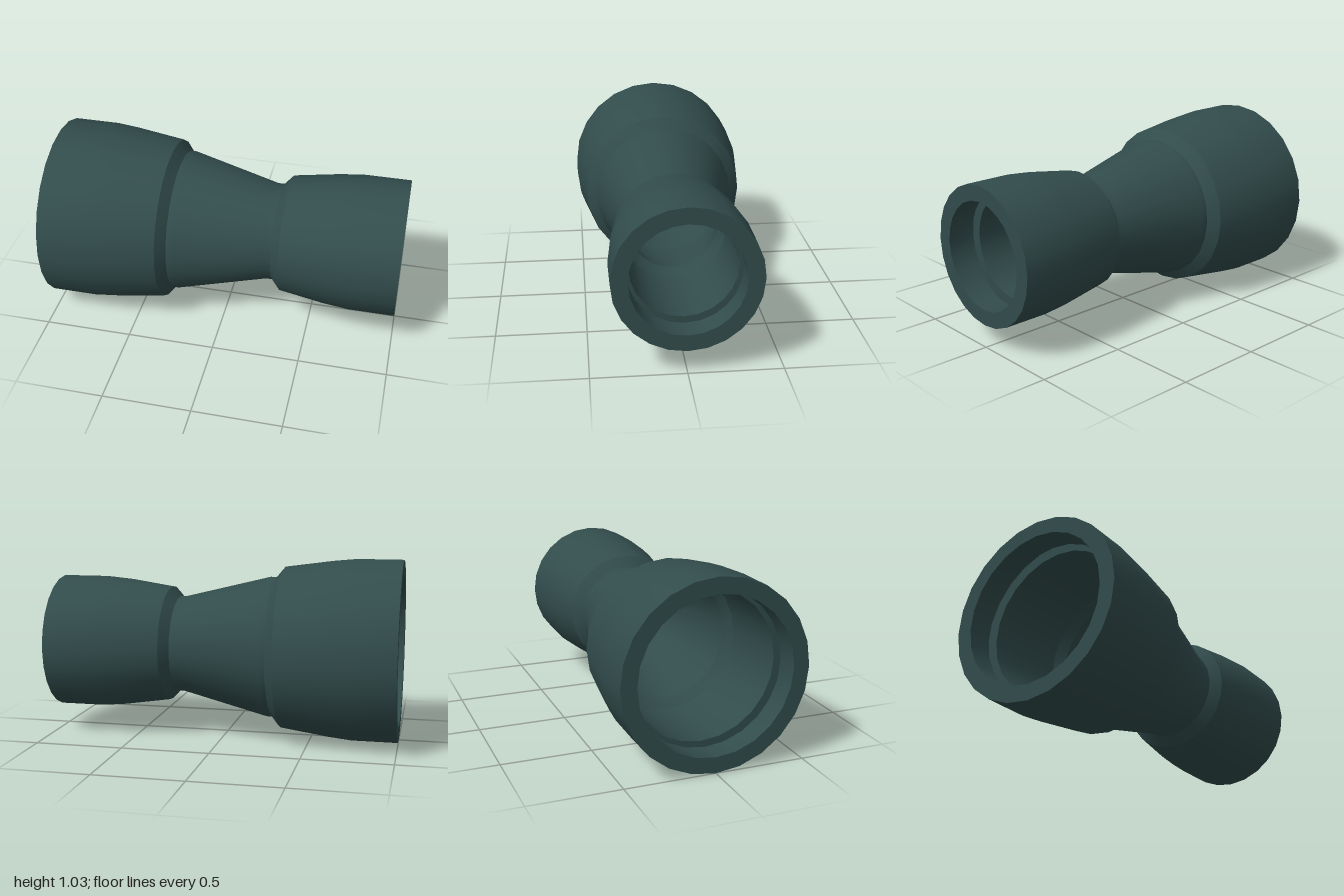
import * as THREE from 'three';
import { toCreasedNormals } from 'three/addons/utils/BufferGeometryUtils.js';

const SIDES = 24;
const AXIS_HEIGHT = 0.518;

// Turns a list of [x, radius] around the x axis
function turned(name, profile, material) {
  const points = profile.map(([x, r]) => new THREE.Vector2(r, x));
  const geometry = new THREE.LatheGeometry(points, SIDES).rotateZ(-Math.PI / 2);
  const mesh = new THREE.Mesh(toCreasedNormals(geometry, 0.4), material);
  mesh.name = name;
  return mesh;
}

export function createModel() {
  const group = new THREE.Group();
  group.name = 'pipeReducer';
  const material = new THREE.MeshStandardMaterial({ color: 0x324c4c });

  // Outer skin: wide collar, tapered neck, narrow collar
  const outside = [
    [-1, 0.516], [-0.74, 0.516], [-0.61, 0.503], [-0.335, 0.465],
    [-0.285, 0.405], [-0.25, 0.405], [0.25, 0.28], [0.285, 0.28],
    [0.335, 0.335], [0.6, 0.375], [0.74, 0.388], [1, 0.388],
  ];
  // Narrow socket: mouth, seal groove, seat and stop
  const narrowSocket = [
    [1, 0.3], [0.86, 0.3], [0.86, 0.345], [0.815, 0.345],
    [0.815, 0.286], [0.335, 0.286], [0.285, 0.245],
  ];
  const throat = [[0.285, 0.245], [0.25, 0.245], [-0.25, 0.37], [-0.285, 0.37]];
  // Wide socket, in the opposite order
  const wideSocket = [
    [-0.285, 0.37], [-0.335, 0.412], [-0.815, 0.412],
    [-0.815, 0.473], [-0.86, 0.473], [-0.86, 0.428], [-1, 0.428],
  ];

  const body = new THREE.Group();
  body.name = 'body';
  body.position.y = AXIS_HEIGHT;
  body.add(
    turned('outerShell', outside, material),
    turned('narrowRim', [outside.at(-1), narrowSocket[0]], material),
    turned('narrowSocket', narrowSocket, material),
    turned('throat', throat, material),
    turned('wideSocket', wideSocket, material),
    turned('wideRim', [wideSocket.at(-1), outside[0]], material),
  );
  group.add(body);
  return group;
}
